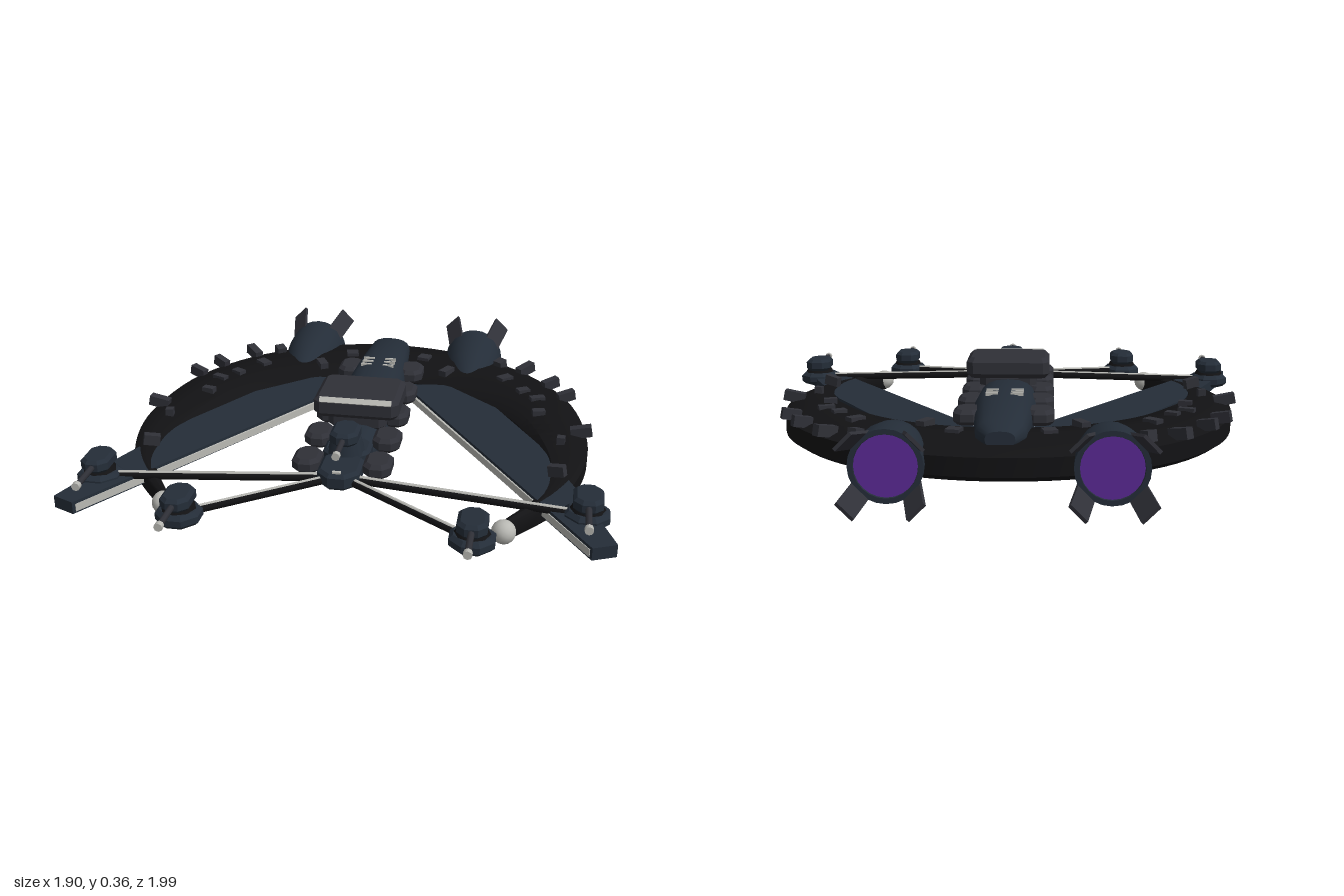
import * as THREE from 'three';
import { toCreasedNormals } from 'three/addons/utils/BufferGeometryUtils.js';

const mat = (color, extra = {}) => new THREE.MeshStandardMaterial({ color, ...extra });
const M = {
  black: mat(0x121214), navy: mat(0x242d38), grey: mat(0x2f3037),
  light: mat(0xb9b9b4), purple: mat(0x5b2a96),
};
const V = (x, y, z) => new THREE.Vector3(x, y, z);

function add(parent, name, geo, material, x = 0, y = 0, z = 0) {
  const m = new THREE.Mesh(geo, material);
  m.name = name;
  m.position.set(x, y, z);
  parent.add(m);
  return m;
}

// Skin closed cross-sections, cap both ends and make the faces point outwards
function loft(sections, crease = 0.6) {
  const n = sections[0].length, pts = sections.flat(), idx = [];
  for (let i = 0; i < sections.length - 1; i++)
    for (let j = 0; j < n; j++) {
      const a = i * n + j, b = i * n + (j + 1) % n;
      idx.push(a, b, a + n, b, b + n, a + n);
    }
  const last = (sections.length - 1) * n;
  for (let j = 1; j < n - 1; j++) idx.push(0, j + 1, j, last, last + j, last + j + 1);
  let vol = 0;
  for (let i = 0; i < idx.length; i += 3)
    vol += pts[idx[i]].dot(V(0, 0, 0).crossVectors(pts[idx[i + 1]], pts[idx[i + 2]]));
  if (vol < 0) idx.reverse();
  const g = new THREE.BufferGeometry().setFromPoints(pts);
  g.setIndex(idx);
  return toCreasedNormals(g, crease);
}

// Plate from an outline in x and z, from y = 0 up to h
function plate(points, h, bevel = 0) {
  const shape = new THREE.Shape(points.map(p => new THREE.Vector2(p[0], p[1])));
  const g = new THREE.ExtrudeGeometry(shape, {
    depth: h - 2 * bevel, bevelEnabled: bevel > 0, bevelSize: bevel, bevelOffset: -bevel,
    bevelThickness: bevel, bevelSegments: 1,
  });
  return g.rotateX(Math.PI / 2).translate(0, h - bevel, 0);
}

// Block with cut corners and bevelled rims
function block(w, h, d, c = 0.025, bevel = 0.012) {
  const x = w / 2, z = d / 2;
  return plate([[x - c, -z], [x, c - z], [x, z - c], [x - c, z],
    [c - x, z], [-x, z - c], [-x, c - z], [c - x, -z]], h, bevel);
}

// Rod between two points
function rod(parent, name, a, b, r, material, sides = 8) {
  const m = add(parent, name, new THREE.CylinderGeometry(r, r, a.distanceTo(b), sides), material);
  m.position.copy(a).add(b).multiplyScalar(0.5);
  m.quaternion.setFromUnitVectors(V(0, 1, 0), b.clone().sub(a).normalize());
  return m;
}

function turret(parent, name, x, y, z, barrel, base = true) {
  const t = new THREE.Group();
  t.name = name;
  t.position.set(x, y, z);
  parent.add(t);
  if (base) {
    add(t, 'turretBase', block(0.15, 0.05, 0.15, 0.045, 0.014), M.navy);
    add(t, 'turretCollar', new THREE.CylinderGeometry(0.05, 0.065, 0.025, 8), M.black, 0, 0.055, 0);
  }
  add(t, 'turretHead', block(0.1, 0.05, 0.14, 0.028), M.navy, 0, 0.06, 0);
  rod(t, 'gunBarrel', V(0, 0.085, 0.05), V(0, 0.085, barrel - 0.02), 0.011, M.grey);
  rod(t, 'gunMuzzle', V(0, 0.085, barrel - 0.02), V(0, 0.085, barrel), 0.015, M.light);
}

// Curve through a half outline mirrored across x = 0
const mirrored = half => new THREE.CatmullRomCurve3([
  ...half.slice(1).reverse().map(p => V(-p[0], 0, p[1])), ...half.map(p => V(p[0], 0, p[1]))]);

function crescent(parent) {
  const outer = mirrored([[0, -.865], [.3, -.81], [.58, -.64], [.78, -.36], [.86, 0], [.84, .24], [.76, .46], [.6, .67]]);
  const inner = mirrored([[0, -.47], [.22, -.44], [.43, -.32], [.57, -.15], [.66, .03], [.715, .24], [.69, .44], [.57, .66]]);
  const sections = [];
  for (let i = 0; i <= 72; i++) {
    const o = outer.getPoint(i / 72), n = inner.getPoint(i / 72);
    const k = Math.min(1, o.distanceTo(n) / 0.28);
    const at = (u, y) => o.clone().lerp(n, u).setY(y);
    sections.push([
      at(0, 0.105), at(0, 0.15 + 0.02 * k), at(0.12, 0.158 + 0.027 * k), at(0.5, 0.163 + 0.042 * k),
      at(0.88, 0.158 + 0.032 * k), at(1, 0.15 + 0.01 * k), at(1, 0.11), at(0.85, 0.1 - 0.025 * k),
      at(0.5, 0.095 - 0.04 * k), at(0.12, 0.1 - 0.02 * k)]);
  }
  add(parent, 'crescentHull', loft(sections), M.black);
}

function fuselage(parent) {
  // z, half width, bottom, top
  const rows = [[-.775, .05, .18, .235], [-.71, .085, .15, .262], [-.5, .102, .12, .282], [-.3, .115, .1, .29],
    [-.05, .112, .09, .272], [.15, .1, .1, .25], [.27, .085, .125, .235], [.32, .06, .16, .22]];
  add(parent, 'fuselage', loft(rows.map(([z, w, lo, hi]) => Array.from({ length: 20 }, (_, i) => {
    const a = i / 20 * Math.PI * 2, c = Math.cos(a), s = Math.sin(a);
    const soft = v => Math.sign(v) * Math.abs(v) ** 0.8;
    return V(w * soft(c), (lo + hi) / 2 + (hi - lo) / 2 * soft(s), z);
  }))), M.navy);
  add(parent, 'neck', block(0.17, 0.06, 0.14, 0.03), M.navy, 0, 0.18, 0.33);
  add(parent, 'noseBlock', block(0.15, 0.06, 0.2, 0.045), M.navy, 0, 0.175, 0.47);
  add(parent, 'noseLamp', new THREE.BoxGeometry(0.03, 0.01, 0.012), M.light, 0, 0.237, 0.55);
  // Bridge on its pedestal with a lit front window
  add(parent, 'bridgePedestal', block(0.22, 0.06, 0.2), M.grey, 0, 0.225, 0.07);
  add(parent, 'bridge', block(0.32, 0.08, 0.25, 0.025, 0.018), M.grey, 0, 0.275, 0.07);
  const win = add(parent, 'bridgeWindow', new THREE.BoxGeometry(0.27, 0.022, 0.008), M.light, 0, 0.346, 0.187);
  win.rotation.x = -0.78;
  add(parent, 'turretStand', new THREE.CylinderGeometry(0.055, 0.07, 0.06, 12), M.navy, 0, 0.255, 0.36);
  turret(parent, 'noseTurret', 0, 0.22, 0.375, 0.19, false);
}

function engine(parent, s) {
  const g = new THREE.Group();
  g.name = 'engine';
  g.position.set(0.36 * s, 0.14, 0);
  parent.add(g);
  // Lathe profile runs along +y, turned to point to the back
  const profile = [[0, .45], [.04, .47], [.075, .55], [.105, .65], [.121, .75], [.123, .87], [.105, .87], [.1, .84]];
  const shell = new THREE.LatheGeometry(profile.map(p => new THREE.Vector2(...p)), 24).rotateX(-Math.PI / 2);
  add(g, 'engineShell', toCreasedNormals(shell, 0.6), mat(0x242d38, { side: THREE.DoubleSide }));
  add(g, 'engineGlow', new THREE.CircleGeometry(0.106, 24).rotateY(Math.PI), M.purple, 0, 0, -0.862);
  for (let i = 0; i < 4; i++) {
    const arm = new THREE.Group();
    arm.name = 'exhaustFin';
    arm.rotation.z = Math.PI / 4 + i * Math.PI / 2;
    g.add(arm);
    const fin = add(arm, 'finPlate', new THREE.BoxGeometry(0.075, 0.012, 0.19), M.grey, 0, 0.132, -0.905);
    fin.rotation.x = 0.27;
  }
}

function side(parent, s) {
  const g = new THREE.Group();
  g.name = s > 0 ? 'leftSide' : 'rightSide';
  parent.add(g);
  // Swept blade with a pale inner edge
  const blade = [[.1, -.42], [.28, -.44], [.5, -.24], [.68, .07], [.84, .45], [.95, .755], [.87, .79]];
  add(g, 'blade', plate(blade.map(([x, z]) => [x * s, z]), 0.045), M.navy, 0, 0.125, 0);
  const edge = add(g, 'bladeEdge', new THREE.BoxGeometry(0.012, 0.028, 1.34), M.light, 0.503 * s, 0.145, 0.215);
  edge.rotation.y = Math.atan2(0.73 * s, 1.13);
  add(g, 'tipBall', new THREE.IcosahedronGeometry(0.042, 2), M.light, 0.585 * s, 0.135, 0.675);
  engine(g, s);
  // Pods along the spine
  for (const z of [-0.44, -0.22, 0, 0.22, 0.43])
    add(g, 'spinePod', block(0.1, 0.055, 0.135, 0.028, 0.014), M.grey, 0.127 * s, 0.19, z);
  // Gun struts with a pale strip on top, and their turrets
  for (const [x, z, x0, z0, barrel] of [[.855, .57, .06, .51, .21], [.49, .79, .05, .53, .2]]) {
    const a = V(x0 * s, 0.195, z0), b = V(x * s, 0.165, z);
    rod(g, 'gunStrut', a, b, 0.015, M.black);
    const up = V(0, 0.01, 0);
    rod(g, 'strutStrip', a.clone().add(up), b.clone().add(up), 0.008, M.light, 6);
    turret(g, 'gunTurret', x * s, 0.14, z, barrel);
  }
  // Vents on the back of the fuselage
  for (const z of [-0.4, -0.365, -0.33])
    add(g, 'vent', new THREE.BoxGeometry(0.045, 0.012, 0.008), M.light, 0.045 * s, 0.284, z);
  // Raised fittings around the rim: x, z, width, length
  for (const [x, z, w, d] of [[.6, -.61, .035, .08], [.71, -.47, .03, .07], [.775, -.35, .03, .07], [.835, -.02, .035, .08],
    [.49, -.65, .04, .04], [.27, -.51, .035, .07], [.6, -.35, .035, .05], [.66, -.28, .03, .06], [.67, -.15, .03, .05],
    [.76, .08, .03, .03], [.75, .32, .03, .06], [.16, -.64, .05, .05], [.52, -.47, .04, .06]]) {
    const f = add(g, 'hullFitting', new THREE.BoxGeometry(w, 0.04, d), M.grey, x * s, 0.195, z);
    f.rotation.y = Math.atan2(x * s, z);
    f.rotateX(Math.hypot(x, z) > 0.8 ? -0.2 : 0);
  }
}

export function createModel() {
  const model = new THREE.Group();
  model.name = 'crescentShip';
  crescent(model);
  fuselage(model);
  side(model, 1);
  side(model, -1);
  return model;
}
